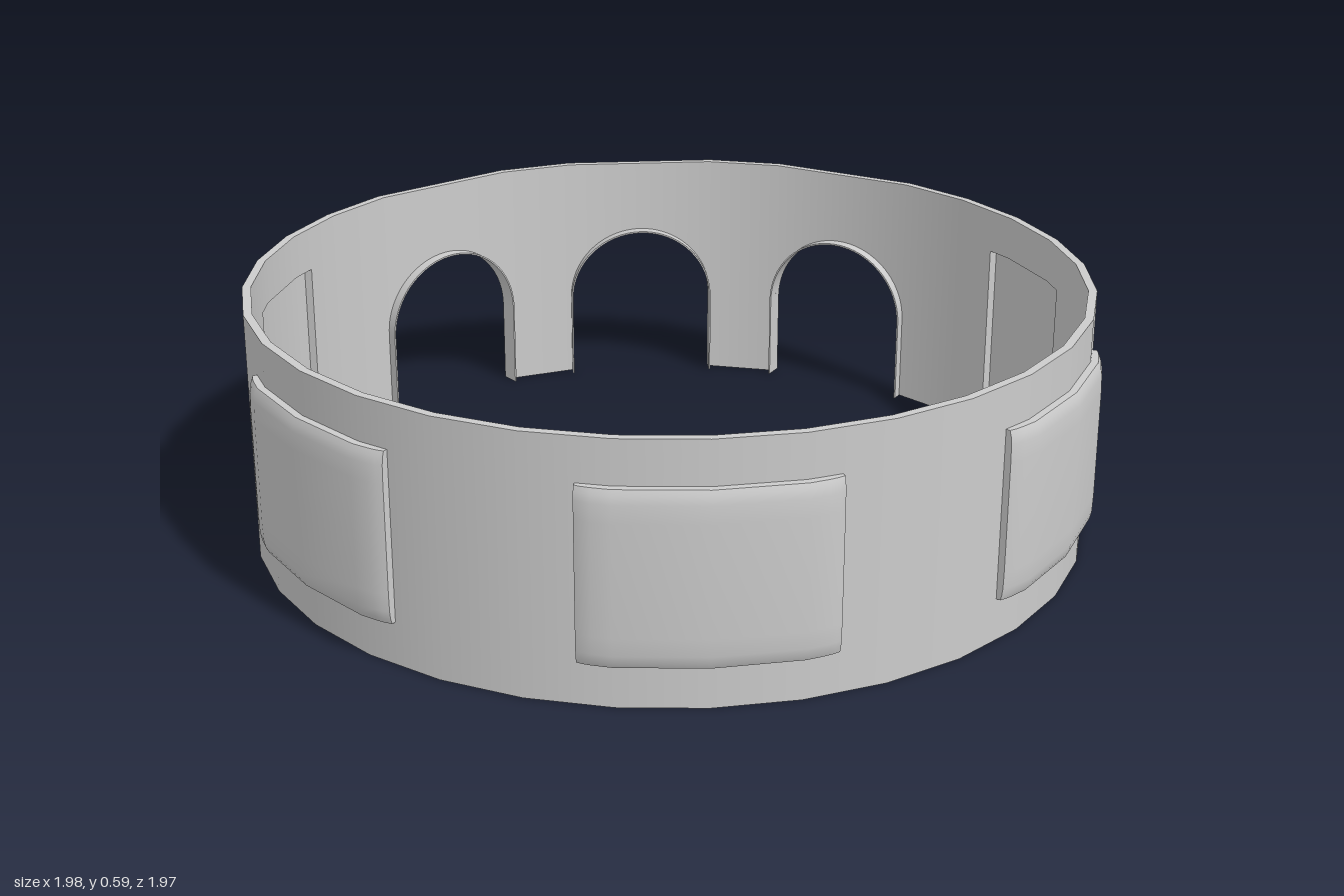
import * as THREE from 'three';
import { toCreasedNormals } from 'three/addons/utils/BufferGeometryUtils.js';

const R = 0.98, INNER = 0.96 / R, H = 0.59, STEP = 11.25;
const HOLE_LOW = 0.105, HOLE_HIGH = 0.485;
const DOORS = [146.25, 180, 213.75];
// bay panels: centre angle and half width, in degrees from the front
const BAYS = [[0, 15.75], [56.25, 15.75], [106.875, 10.125], [-56.25, 15.75], [-106.875, 10.125]];
const material = new THREE.MeshStandardMaterial({ color: 0xcccccc, side: THREE.DoubleSide });

const polar = (deg) => {
  const a = THREE.MathUtils.degToRad(deg);
  return new THREE.Vector2(Math.sin(a) * R, Math.cos(a) * R);
};

// point on the 32-sided outline at any angle
function outline(deg) {
  const k = Math.floor(deg / STEP + 1e-6);
  const half = STEP / 2;
  const off = THREE.MathUtils.degToRad(deg - k * STEP - half);
  const r = Math.cos(THREE.MathUtils.degToRad(half)) / Math.cos(off);
  return polar(deg).multiplyScalar(r);
}

function buildWall() {
  const pos = [], nor = [];
  // facing: 1 outward, -1 inward, 0 flat
  function quad(a, b, c, d, facing) {
    const flat = b.clone().sub(a).cross(d.clone().sub(a)).normalize();
    for (const v of [a, b, c, a, c, d]) {
      const n = facing ? new THREE.Vector3(v.x, 0, v.z).normalize().multiplyScalar(facing) : flat;
      pos.push(v.x, v.y, v.z);
      nor.push(n.x, n.y, n.z);
    }
  }
  const out = (p, y) => new THREE.Vector3(p.x, y, p.y);
  const inn = (p, y) => new THREE.Vector3(p.x * INNER, y, p.y * INNER);
  // piece of wall from p to q, with a bottom that may slope
  function slab(p, q, low0, low1, high) {
    quad(out(p, low0), out(q, low1), out(q, high), out(p, high), 1);
    quad(inn(q, low1), inn(p, low0), inn(p, high), inn(q, high), -1);
    quad(out(p, high), out(q, high), inn(q, high), inn(p, high), 0);
    quad(inn(p, low0), inn(q, low1), out(q, low1), out(p, low0), 0);
  }
  const holes = BAYS.map(([c, h]) => [(c - h + 0.3 + 360) % 360, (c + h - 0.3 + 360) % 360]);
  const inHole = (a) => holes.some(([s, e]) => (s < e ? a > s && a < e : a > s || a < e));

  // plain wall and window recesses
  const stops = [...Array(33).keys()].map((i) => i * STEP).concat(holes.flat()).sort((a, b) => a - b);
  for (let i = 0; i < stops.length - 1; i++) {
    const mid = (stops[i] + stops[i + 1]) / 2;
    if (DOORS.some((d) => Math.abs(d - mid) < STEP)) continue;
    const p = outline(stops[i]), q = outline(stops[i + 1]);
    if (inHole(mid)) {
      slab(p, q, 0, 0, HOLE_LOW);
      slab(p, q, HOLE_HIGH, HOLE_HIGH, H);
    } else slab(p, q, 0, 0, H);
  }
  // side faces of the recesses
  for (const [s, e] of holes) {
    const p = outline(s), q = outline(e);
    quad(out(p, HOLE_LOW), inn(p, HOLE_LOW), inn(p, HOLE_HIGH), out(p, HOLE_HIGH), 0);
    quad(inn(q, HOLE_LOW), out(q, HOLE_LOW), out(q, HOLE_HIGH), inn(q, HOLE_HIGH), 0);
  }
  // flat wall above each doorway arch
  for (const d of DOORS) {
    const a = polar(d - STEP), b = polar(d + STEP), n = 20;
    const at = (i) => a.clone().lerp(b, (1 - Math.cos((i / n) * Math.PI)) / 2);
    const arch = (i) => 0.215 + 0.191 * Math.sin((i / n) * Math.PI);
    for (let i = 0; i < n; i++) slab(at(i), at(i + 1), arch(i), arch(i + 1), H);
  }
  const g = new THREE.BufferGeometry();
  g.setAttribute('position', new THREE.Float32BufferAttribute(pos, 3));
  g.setAttribute('normal', new THREE.Float32BufferAttribute(nor, 3));
  return g;
}

// raised panel, pillowed towards its edges and bent along the wall
function buildBay(centre, half) {
  const rise = [0, 0.6, 0.82, 0.95, 1, 1];
  const cols = [0, 0, 0.8, 2, 4.5, half].map((o, i) => [o - half, rise[i]]);
  const rows = [0.1, 0.1, 0.112, 0.13, 0.17, 0.295].map((y, i) => [y, rise[i]]);
  for (let i = 4; i >= 0; i--) {
    cols.push([-cols[i][0], rise[i]]);
    rows.push([0.59 - rows[i][0], rise[i]]);
  }
  const n = cols.length, pos = [], idx = [];
  for (const height of [0.028, 0])
    for (const [y, fv] of rows)
      for (const [o, fu] of cols) {
        const p = outline(centre + o).multiplyScalar(1 + (height * fu * fv) / R);
        pos.push(p.x, y, p.y);
      }
  for (let r = 0; r < n - 1; r++)
    for (let c = 0; c < n - 1; c++) {
      const a = r * n + c, b = a + 1, d = a + n, e = d + 1, k = n * n;
      idx.push(a, b, e, a, e, d, b + k, a + k, d + k, b + k, d + k, e + k);
    }
  const g = new THREE.BufferGeometry();
  g.setAttribute('position', new THREE.Float32BufferAttribute(pos, 3));
  g.setIndex(idx);
  return toCreasedNormals(g, 0.7);
}

// thin arched lining that stands a little inside the wall
function buildLining() {
  const w = 0.191, t = 0.187, spring = 0.215;
  const s = new THREE.Shape();
  s.moveTo(w, 0);
  s.lineTo(w, spring);
  s.absarc(0, spring, w, 0, Math.PI, false);
  s.lineTo(-w, 0);
  s.lineTo(-t, 0);
  s.lineTo(-t, spring);
  s.absarc(0, spring, t, Math.PI, 0, true);
  s.lineTo(t, 0);
  const g = new THREE.ExtrudeGeometry(s, { depth: 0.048, bevelEnabled: false, curveSegments: 20 });
  g.translate(0, 0, -0.048);
  return toCreasedNormals(g, 0.6);
}

export function createModel() {
  const model = new THREE.Group();
  model.name = 'ringWall';
  const add = (name, geometry) => {
    const mesh = new THREE.Mesh(geometry, material);
    mesh.name = name;
    mesh.position.z = -0.025;
    model.add(mesh);
    return mesh;
  };
  add('wall', buildWall());
  BAYS.forEach(([c, h], i) => add('bayPanel' + (i + 1), buildBay(c, h)));

  const lining = buildLining();
  DOORS.forEach((d, i) => {
    const mesh = add('doorLining' + (i + 1), lining);
    const mid = polar(d).multiplyScalar(Math.cos(THREE.MathUtils.degToRad(STEP)));
    mesh.position.x += mid.x;
    mesh.position.z += mid.y;
    mesh.rotation.y = THREE.MathUtils.degToRad(d);
  });
  return model;
}
